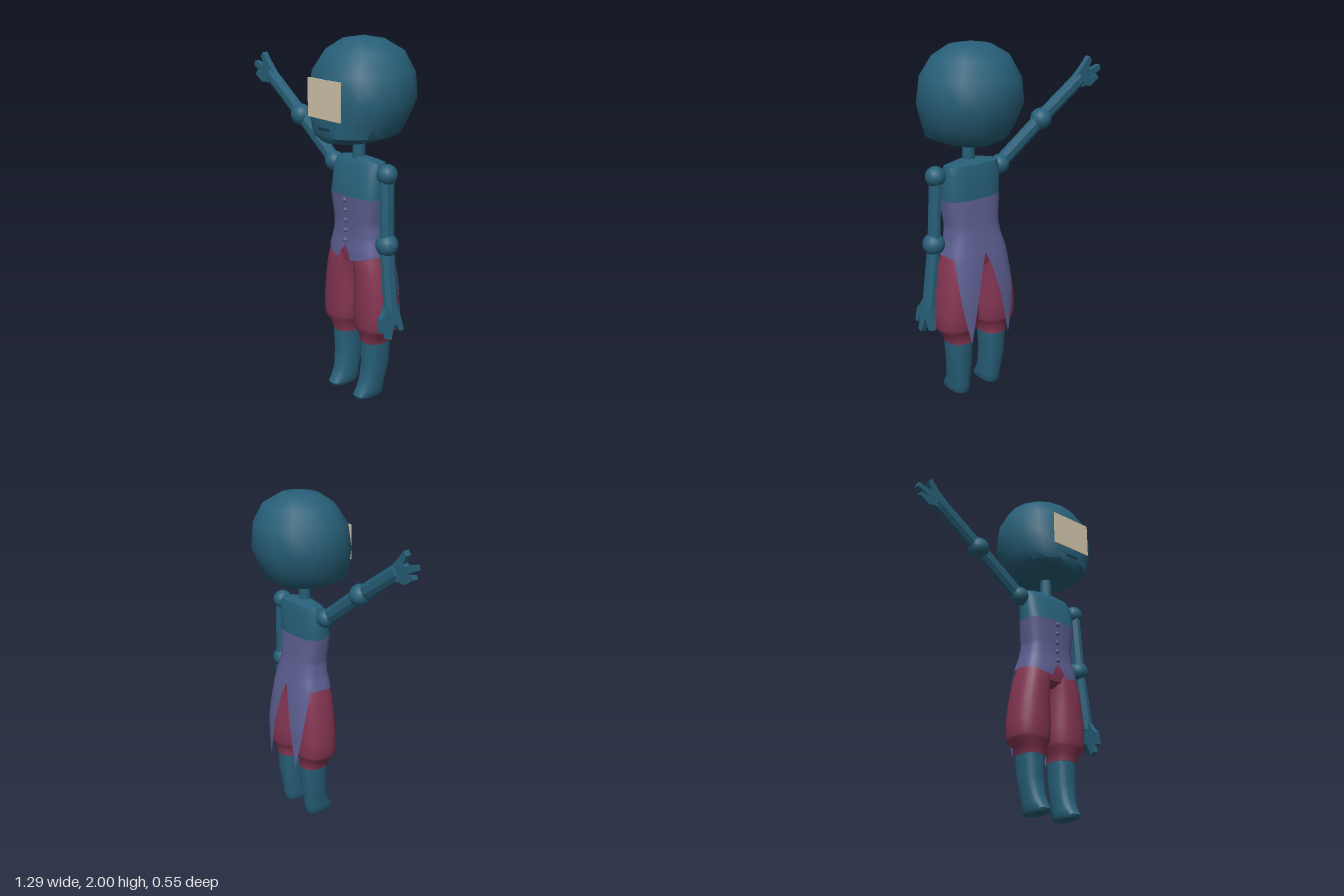
import * as THREE from 'three';
import { toCreasedNormals } from 'three/addons/utils/BufferGeometryUtils.js';

const CX = 0.315; // body axis, offset because one arm reaches far out

const paint = (name, color) => {
  const m = new THREE.MeshStandardMaterial({ color });
  m.name = name;
  return m;
};

// Closed grid of points: point(column angle, row index) -> [x, y, z], rows run downwards
function grid(columns, rows, point) {
  const pos = [], idx = [];
  for (let r = 0; r < rows; r++)
    for (let c = 0; c < columns; c++) pos.push(...point((c / columns) * Math.PI * 2, r));
  for (let r = 0; r < rows - 1; r++)
    for (let c = 0; c < columns; c++) {
      const d = (c + 1) % columns;
      const a = r * columns + c, b = a + columns, e = (r + 1) * columns + d, f = r * columns + d;
      idx.push(a, b, e, a, e, f);
    }
  const g = new THREE.BufferGeometry();
  g.setAttribute('position', new THREE.Float32BufferAttribute(pos, 3));
  g.setIndex(idx);
  g.computeVertexNormals();
  return g;
}

// Rounded-box outline: power 2 is an ellipse, higher is squarer
function outline(a, cx, y, hw, zf, zb, power) {
  const s = Math.sin(a), c = Math.cos(a), k = 2 / power;
  return [
    cx + hw * Math.sign(s) * Math.abs(s) ** k,
    y,
    (zf + zb) / 2 + ((zf - zb) / 2) * Math.sign(c) * Math.abs(c) ** k,
  ];
}

// Solid from rings [centre x, y, half width, front z, back z], closed at both ends
function loft(rings, columns, power, maxZ = 9) {
  const cap = ([cx, y, , zf, zb]) => [cx, y, 0, (zf + zb) / 2, (zf + zb) / 2];
  const all = [cap(rings[0]), ...rings, cap(rings[rings.length - 1])];
  const g = grid(columns, all.length, (a, r) => {
    const p = outline(a, ...all[r], power);
    p[2] = Math.min(p[2], maxZ);
    return p;
  });
  return toCreasedNormals(g, 0.8);
}

// Linear lookup in rows sorted by falling first value
function lookup(table, key) {
  let i = 0;
  while (i < table.length - 2 && key < table[i + 1][0]) i++;
  const a = table[i], b = table[i + 1];
  const t = THREE.MathUtils.clamp((key - a[0]) / (b[0] - a[0]), 0, 1);
  return a.slice(1).map((v, k) => v + (b[k + 1] - v) * t);
}

export function createModel() {
  const model = new THREE.Group();
  model.name = 'figure';
  const teal = paint('teal', 0x275f78);
  const purple = paint('purple', 0x5c5e90);
  purple.side = THREE.DoubleSide;
  const crimson = paint('crimson', 0x833552);
  const beige = paint('beige', 0xd2c6ab);
  const dark = paint('darkTeal', 0x173947);

  const add = (name, geometry, material, parent = model) => {
    const m = new THREE.Mesh(geometry, material);
    m.name = name;
    parent.add(m);
    return m;
  };

  // Head: faceted ball with a flat face
  add('head', loft([
    [CX, 2.0, 0.01, 0.015, 0.0],
    [CX, 1.983, 0.118, 0.115, -0.1],
    [CX, 1.925, 0.212, 0.2, -0.2],
    [CX, 1.815, 0.273, 0.275, -0.26],
    [CX, 1.68, 0.289, 0.295, -0.27],
    [CX, 1.57, 0.25, 0.295, -0.225],
    [CX, 1.495, 0.218, 0.29, -0.185],
    [CX, 1.458, 0.13, 0.25, -0.12],
  ], 16, 2.1, 0.27), teal);
  add('facePlate', new THREE.BoxGeometry(0.265, 0.205, 0.008), beige).position.set(CX, 1.688, 0.271);
  add('mouth', new THREE.BoxGeometry(0.085, 0.013, 0.006), dark).position.set(CX, 1.533, 0.271);
  add('neck', new THREE.CylinderGeometry(0.034, 0.036, 0.16, 12), teal).position.set(CX, 1.405, 0.033);

  // Chest
  add('chest', loft([
    [CX, 1.365, 0.07, 0.055, 0.0],
    [CX, 1.345, 0.165, 0.075, -0.045],
    [CX, 1.3, 0.178, 0.102, -0.058],
    [CX, 1.155, 0.177, 0.128, -0.062],
  ], 32, 3), teal);

  // Jacket: one sheet whose hem has a front notch and two long tails behind
  const shape = [ // y, half width, front z, back z
    [1.155, 0.178, 0.129, -0.063],
    [1.0, 0.157, 0.118, -0.078],
    [0.93, 0.167, 0.118, -0.092],
    [0.85, 0.192, 0.129, -0.112],
    [0.75, 0.207, 0.135, -0.13],
    [0.6, 0.228, 0.13, -0.147],
    [0.35, 0.24, 0.13, -0.152],
  ];
  const hem = [ // degrees from the back centre's opposite, hem height
    [180, 0.86], [157.5, 0.35], [118, 0.84], [90, 0.845], [40, 0.825], [7.5, 0.8], [0, 0.88],
  ];
  add('jacket', grid(96, 25, (a, r) => {
    const deg = THREE.MathUtils.radToDeg(Math.min(a, Math.PI * 2 - a));
    const y = 1.155 + (lookup(hem, deg)[0] - 1.155) * (r / 24);
    return outline(a, CX, y, ...lookup(shape, y), 3);
  }), purple);
  for (let i = 0; i < 5; i++) {
    const y = 1.133 - i * 0.057;
    add('button', new THREE.SphereGeometry(0.013, 10, 8), purple)
      .position.set(CX, y, lookup(shape, y)[1] + 0.003);
  }

  // Trousers
  add('hips', loft([
    [CX, 0.93, 0.155, 0.105, -0.08],
    [CX, 0.85, 0.175, 0.115, -0.095],
    [CX, 0.78, 0.12, 0.105, -0.085],
    [CX, 0.755, 0.06, 0.06, -0.05],
  ], 32, 2.6), crimson);
  const trouser = [ // y, inner x, outer x, front z, back z
    [0.9, 0.0, 0.165, 0.1, -0.08],
    [0.8, 0.0, 0.2, 0.12, -0.1],
    [0.75, 0.014, 0.212, 0.123, -0.105],
    [0.66, 0.014, 0.23, 0.124, -0.112],
    [0.52, 0.008, 0.25, 0.123, -0.118],
    [0.43, 0.01, 0.249, 0.12, -0.116],
    [0.408, 0.016, 0.242, 0.115, -0.108],
    [0.375, 0.043, 0.204, 0.096, -0.084],
    [0.33, 0.044, 0.193, 0.087, -0.086],
  ];
  const boot = [
    [0.332, 0.046, 0.19, 0.084, -0.083],
    [0.2, 0.05, 0.183, 0.078, -0.076],
    [0.1, 0.053, 0.17, 0.09, -0.06],
    [0.05, 0.055, 0.165, 0.112, -0.055],
    [0.015, 0.055, 0.163, 0.135, -0.052],
    [0.0, 0.063, 0.155, 0.127, -0.044],
  ];
  for (const [side, s] of [['left', 1], ['right', -1]]) {
    const rings = (rows) => rows.map(([y, i, o, zf, zb]) => [CX + (s * (i + o)) / 2, y, (o - i) / 2, zf, zb]);
    add(side + 'TrouserLeg', loft(rings(trouser), 28, 2.4), crimson);
    add(side + 'Boot', loft(rings(boot), 24, 2.6), teal);
  }

  // Hand outline: x along the forearm from the elbow, y across, thumb on the negative side
  const handShape = new THREE.Shape([
    [0.33, -0.043], [0.36, -0.056], [0.39, -0.084], [0.465, -0.086], [0.468, -0.062], [0.415, -0.042],
    [0.505, -0.052], [0.515, -0.025], [0.445, -0.002], [0.435, 0.014],
    [0.48, 0.04], [0.478, 0.07], [0.41, 0.052], [0.36, 0.043], [0.33, 0.04],
  ].map(([x, y]) => new THREE.Vector2(x, y)));

  // Arms: flat bevelled bars between ball joints
  function arm(side, shoulder, elbow, tip, across) {
    const group = new THREE.Group();
    group.name = side + 'Arm';
    model.add(group);
    const ball = (name, p, r) => add(name, new THREE.SphereGeometry(r, 16, 12), teal, group).position.copy(p);
    ball('shoulderJoint', shoulder, 0.056);
    ball('elbowJoint', elbow, 0.062);
    const section = (name, from, to) => {
      const g = new THREE.Group();
      g.name = name;
      const u = to.clone().sub(from).normalize();
      const w = u.clone().cross(across).normalize();
      g.quaternion.setFromRotationMatrix(new THREE.Matrix4().makeBasis(u, w.clone().cross(u), w));
      g.position.copy(from);
      group.add(g);
      return g;
    };
    const bar = (name, parent, length) => {
      const g = new THREE.CylinderGeometry(0.5, 0.5, length, 8).toNonIndexed();
      g.rotateY(Math.PI / 8);
      g.rotateZ(-Math.PI / 2);
      g.scale(1, 0.093, 0.06);
      g.translate(length / 2, 0, 0);
      g.computeVertexNormals();
      add(name, g, teal, parent);
    };
    bar('upperArmBar', section('upperArm', shoulder, elbow), shoulder.distanceTo(elbow));
    const fore = section('forearm', elbow, tip);
    bar('forearmBar', fore, 0.36);
    const hand = new THREE.ExtrudeGeometry(handShape, { depth: 0.034, bevelEnabled: false });
    hand.translate(0, 0, -0.017);
    add('hand', hand, teal, fore);
  }
  const v = (x, y, z) => new THREE.Vector3(x, y, z);
  arm('left', v(0.54, 1.3, 0.03), v(0.557, 0.92, 0.038), v(0.622, 0.42, 0.042), v(0, 0, -1));
  arm('right', v(0.105, 1.295, 0.03), v(-0.2, 1.51, 0.03), v(-0.615, 1.787, 0.03), v(0.555, 0.83, 0));

  return model;
}
